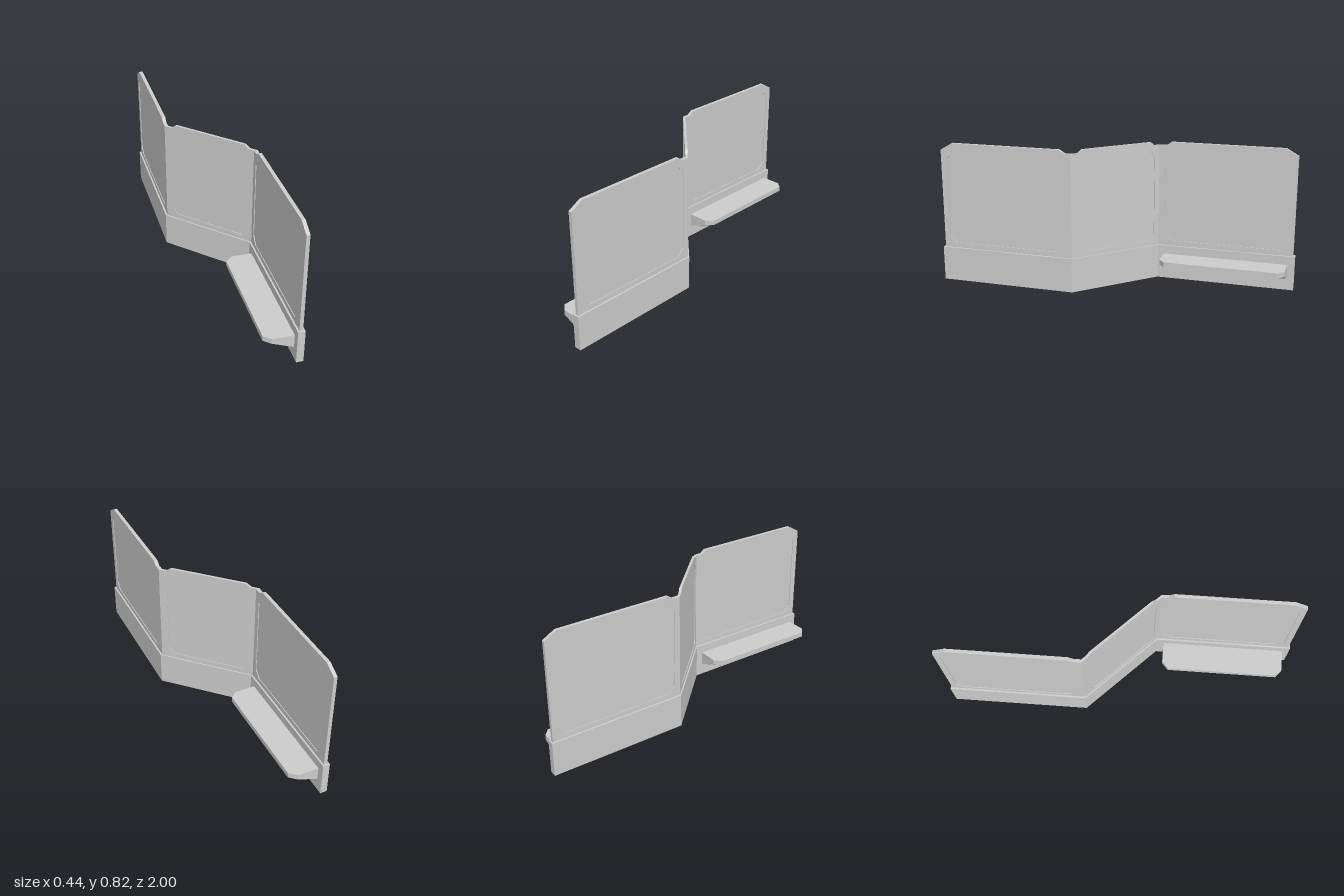
import * as THREE from 'three';
import { ConvexGeometry } from 'three/addons/geometries/ConvexGeometry.js';

const material = new THREE.MeshStandardMaterial({ color: 0xcccccc, flatShading: true });
const R2 = Math.SQRT2;
const RECESS = 0.004;

const toShape = (pts) => new THREE.Shape(pts.map(([a, b]) => new THREE.Vector2(a, b)));

function addMesh(parent, name, geometry) {
  const mesh = new THREE.Mesh(geometry, material);
  mesh.name = name;
  parent.add(mesh);
  return mesh;
}

// Rectangle with chamfered corners, used for the recessed fields
function chamferedRect(u0, u1, v0, v1, cu, cv) {
  return [
    [u0 + cu, v0], [u1 - cu, v0], [u1, v0 + cv], [u1, v1 - cv],
    [u1 - cu, v1], [u0 + cu, v1], [u0, v1 - cv], [u0, v0 + cv],
  ];
}

// Upright panel in (u, y): a core sheet with a framed rim on both faces.
// moveVertex(u, w) returns a new u, for ends that are cut at a slant.
function makePanel(name, outline, field, thickness, moveVertex = (u) => u) {
  const panel = new THREE.Group();
  panel.name = name;
  const half = thickness / 2;
  const layer = (label, w0, w1, framed) => {
    const shape = toShape(outline);
    if (framed) shape.holes.push(new THREE.Path(toShape(field).getPoints()));
    const g = new THREE.ExtrudeGeometry(shape, { depth: w1 - w0, bevelEnabled: false });
    g.translate(0, 0, w0);
    const p = g.attributes.position;
    for (let i = 0; i < p.count; i++) p.setX(i, moveVertex(p.getX(i), p.getZ(i)));
    g.computeVertexNormals();
    addMesh(panel, label, g);
  };
  layer('panelCore', -half + RECESS, half - RECESS, false);
  layer('panelFrameA', half - RECESS, half, true);
  layer('panelFrameB', -half, -half + RECESS, true);
  return panel;
}

// One straight wing on the +x side: panel and bench
function makeWing(name) {
  const wing = new THREE.Group();
  wing.name = name;

  const outline = [
    [0.2, 0.2], [0.99, 0.2], [0.99, 0.78], [0.92, 0.82],
    [0.27, 0.82], [0.24, 0.8], [0.2, 0.8],
  ];
  const field = chamferedRect(0.235, 0.955, 0.23, 0.77, 0.04, 0.04);
  const panel = makePanel('wingPanel', outline, field, 0.02);
  panel.rotation.y = -Math.PI / 2;
  panel.position.x = 0.2;
  wing.add(panel);

  // Bench: chamfered slab whose underside slopes down to the wall
  const plan = [
    [0.18, 0.24], [0.06, 0.24], [0.02, 0.275],
    [0.02, 0.925], [0.06, 0.96], [0.18, 0.96],
  ];
  const points = [];
  for (const [x, z] of plan) {
    points.push(new THREE.Vector3(x, 0.15, z));
    points.push(new THREE.Vector3(x, x > 0.1 ? 0.07 : 0.12, z));
  }
  addMesh(wing, 'bench', new ConvexGeometry(points));
  return wing;
}

export function createModel() {
  const model = new THREE.Group();
  model.name = 'partitionWithBenches';

  // Plinth: Z-shaped footprint raised to 0.2
  const halfPlan = [[0.22, 1], [0.22, 0.2], [-0.18, -0.2], [-0.18, -1]];
  const footprint = [...halfPlan, ...halfPlan.map(([x, z]) => [-x, -z])];
  const plinth = new THREE.ExtrudeGeometry(
    toShape(footprint.map(([x, z]) => [x, -z])),
    { depth: 0.2, bevelEnabled: false },
  );
  plinth.rotateX(-Math.PI / 2);
  addMesh(model, 'plinth', plinth);

  // Diagonal middle panel, with ends cut to meet the wings
  const end = 0.2 * R2;
  const outline = [
    [-end, 0.2], [end, 0.2], [end, 0.8], [0.173 * R2, 0.8], [0.155 * R2, 0.82],
    [-0.155 * R2, 0.82], [-0.173 * R2, 0.8], [-end, 0.8],
  ];
  const f = 0.173 * R2;
  const field = chamferedRect(-f, f, 0.23, 0.77, 0.018 * R2, 0.04);
  const middle = makePanel('middlePanel', outline, field, 0.02 / R2,
    (u, w) => (Math.abs(u) > end - 0.001 ? u - w : u));
  middle.rotation.y = -Math.PI / 4;
  model.add(middle);

  // Two wings, the second turned half way round
  model.add(makeWing('frontWing'));
  const back = makeWing('backWing');
  back.rotation.y = Math.PI;
  model.add(back);

  return model;
}
